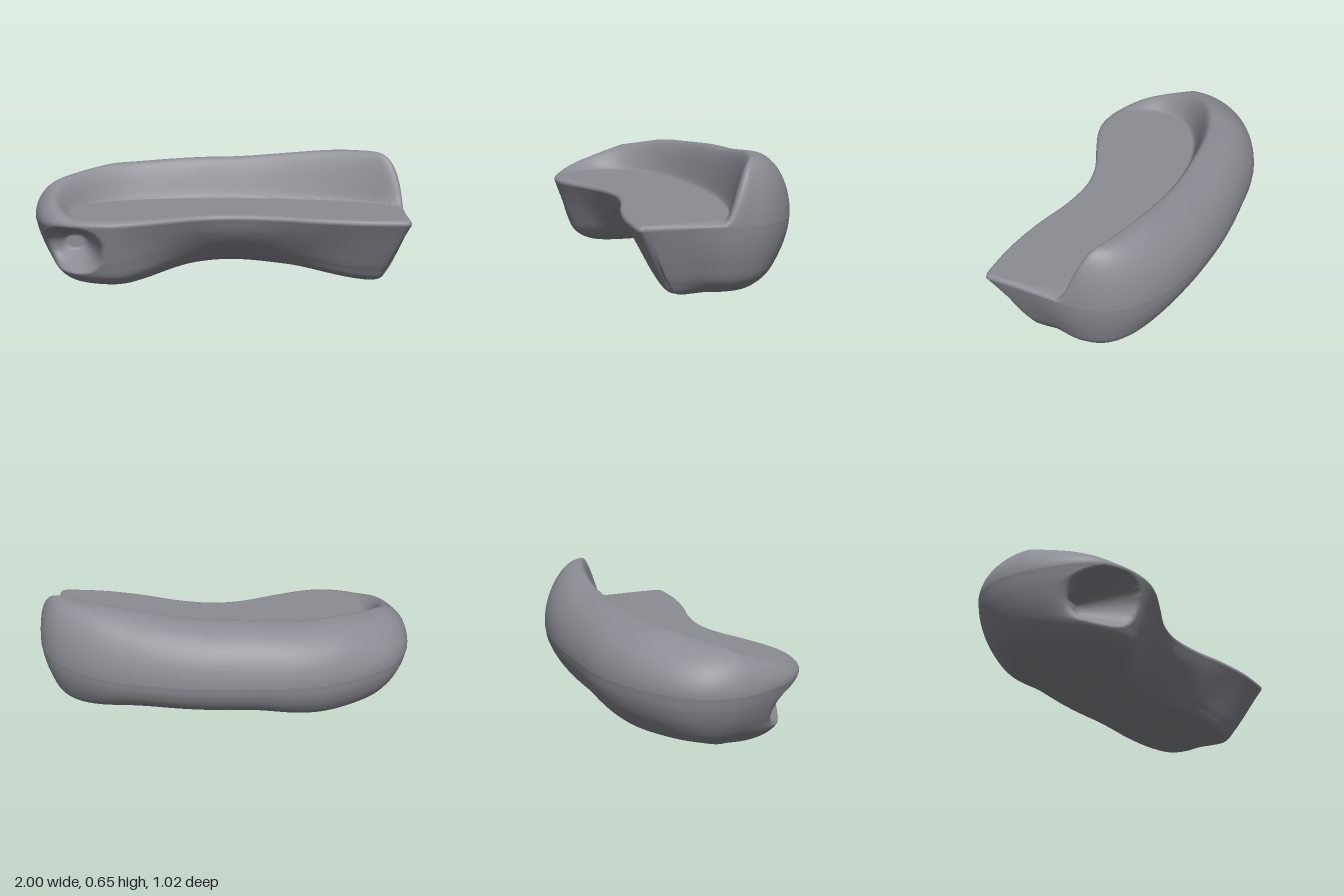
import * as THREE from 'three';

const { clamp, lerp } = THREE.MathUtils;
const smooth = (a, b, v) => THREE.MathUtils.smoothstep(v, a, b);

// Side sections: rounding of the upper edge, then pairs of inset and height from rim to underside
const KINDS = {
  front: [0.025, 0, 0.36, 0.05, 0.28, 0.11, 0.18, 0.165, 0.09, 0.22, 0.03],
  middle: [0.025, 0, 0.36, 0.035, 0.27, 0.09, 0.18, 0.16, 0.1, 0.235, 0.04],
  corner: [0.025, 0, 0.36, 0.055, 0.28, 0.12, 0.18, 0.185, 0.09, 0.245, 0.025],
  lobe: [0.05, 0, 0.355, 0.035, 0.25, 0.075, 0.13, 0.11, 0.06, 0.2, 0.01],
  left: [0.15, 0, 0.33, 0.02, 0.25, 0.06, 0.16, 0.11, 0.09, 0.2, 0.025],
  back: [0.24, 0, 0.335, 0.012, 0.26, 0.05, 0.17, 0.13, 0.075, 0.26, 0.03],
  end: [0.12, 0, 0.355, 0.01, 0.28, 0.035, 0.18, 0.08, 0.075, 0.16, 0.015],
  endFront: [0.03, 0, 0.36, 0.01, 0.28, 0.035, 0.18, 0.08, 0.07, 0.15, 0.015],
};

// Plan outline, running from the left front corner along the front and round
const OUTLINE = [
  [0.966, 0.457, 'corner'], [0.95, 0.47, 'corner'], [0.85, 0.472, 'front'], [0.7, 0.46, 'front'],
  [0.5, 0.42, 'front'], [0.3, 0.36, 'middle'], [0.15, 0.332, 'middle'], [0.05, 0.327, 'middle'],
  [-0.1, 0.352, 'middle'], [-0.3, 0.43, 'front'], [-0.45, 0.485, 'lobe'], [-0.58, 0.505, 'lobe'],
  [-0.75, 0.47, 'lobe'], [-0.88, 0.38, 'lobe'], [-0.96, 0.22, 'left'], [-1, 0.02, 'left'],
  [-0.975, -0.13, 'left'], [-0.9, -0.25, 'back'], [-0.78, -0.345, 'back'], [-0.6, -0.435, 'back'],
  [-0.4, -0.492, 'back'], [-0.15, -0.51, 'back'], [0.1, -0.512, 'back'], [0.3, -0.495, 'back'],
  [0.5, -0.46, 'back'], [0.7, -0.395, 'back'], [0.88, -0.285, 'end'], [0.97, -0.16, 'end'],
  [1, -0.02, 'end'], [0.985, 0.2, 'endFront'], [0.97, 0.42, 'corner'],
];
const SUB = 10; // columns per outline point
const COLS = OUTLINE.length * SUB;

// Section at a column, averaged over its neighbours so that the kinds flow together
function section(col) {
  const reach = 11, sum = new Array(11).fill(0);
  for (let k = -reach; k <= reach; k++) {
    const i = (col + k + COLS) % COLS, s = Math.floor(i / SUB), f = (i % SUB) / SUB;
    const a = KINDS[OUTLINE[s][2]], b = KINDS[OUTLINE[(s + 1) % OUTLINE.length][2]];
    a.forEach((v, m) => { sum[m] += lerp(v, b[m], f) / (2 * reach + 1); });
  }
  return sum;
}

// Line where the backrest meets the seat
const foot = new THREE.CatmullRomCurve3([
  [-0.68, 0.52], [-0.75, 0.36], [-0.79, 0.2], [-0.755, 0.08], [-0.67, -0.015], [-0.52, -0.095], [-0.3, -0.145],
  [0, -0.16], [0.3, -0.147], [0.6, -0.095], [0.8, -0.03], [1.04, 0.085],
].map(([x, z]) => new THREE.Vector3(x, 0, z))).getPoints(80);

// Signed distance behind the foot line
function behindFoot(x, z) {
  let best = Infinity, sign = 1;
  for (let i = 0; i < foot.length - 1; i++) {
    const a = foot[i], dx = foot[i + 1].x - a.x, dz = foot[i + 1].z - a.z;
    const px = x - a.x, pz = z - a.z;
    const t = clamp((px * dx + pz * dz) / (dx * dx + dz * dz), 0, 1);
    const d = Math.hypot(px - t * dx, pz - t * dz);
    if (d < best) {
      best = d;
      sign = dx * pz - dz * px < 0 ? 1 : -1;
    }
  }
  return best * sign;
}

// Height of seat and backrest
function topHeight(x, z) {
  const seat = 0.382;
  let crest = 0.6 + 0.052 * smooth(0, 0.75, x) - 0.022 * smooth(0, 0.55, -x) - 0.07 * smooth(0.55, 1, -x);
  if (x < 0) crest = Math.min(crest, 0.53 - 0.32 * z);
  const wall = smooth(0, 1, Math.pow(clamp(behindFoot(x, z) / 0.1, 0, 1), 0.72));
  return seat + Math.max(0, crest - seat) * wall;
}

// Arch of the underside between the two feet
const arch = (x) => 0.06 * smooth(-0.58, -0.12, x) * (1 - smooth(0.35, 0.82, x));

// Funnel-shaped recess in the rounded front corner, with a small flat floor
function recess(x, y) {
  const q = Math.pow(Math.abs((x + 0.765) / 0.17), 2.4) + Math.pow(Math.abs((y - 0.215) / 0.13), 2.4);
  return clamp((1 - Math.pow(q, 1 / 2.4)) / 0.68, 0, 1);
}

function bodyGeometry() {
  const LOW = 56, TOP = 60, rows = LOW + TOP + 1;
  const curve = new THREE.CatmullRomCurve3(OUTLINE.map(([x, z]) => new THREE.Vector3(x, 0, z)), true);
  const pos = new Float32Array(COLS * rows * 3);

  for (let i = 0; i < COLS; i++) {
    const P = curve.getPoint(i / COLS);
    // Every section runs inward to a curved spine
    const tx = P.x * 0.7;
    const target = new THREE.Vector3(tx, 0, -0.09 + 0.25 * tx * tx);
    const D = P.distanceTo(target);
    const dir = target.clone().sub(P).divideScalar(D);
    const [r, ...p] = section(i);
    const edge = p[1], profile = [];
    for (let k = 0; k < p.length; k += 2) profile.push(new THREE.Vector3(p[k], p[k + 1], 0));
    profile.push(new THREE.Vector3(D, 0, 0));
    const side = new THREE.CatmullRomCurve3(profile);

    for (let j = 0; j < rows; j++) {
      const q = j <= LOW ? side.getPoint(1 - j / LOW) : null;
      const inset = q ? q.x : D * Math.pow((j - LOW) / TOP, 1.4);
      const x = P.x + dir.x * inset;
      let z = P.z + dir.z * inset, y;
      if (q) {
        y = Math.max(0, q.y);
        y += arch(x) * (1 - y / 0.36);
        if (P.z > 0 && inset < 0.2) z = lerp(z, Math.min(z, 0.19), recess(x, y));
      } else {
        const k = Math.max(0, 1 - inset / r);
        y = edge + (topHeight(x, z) - edge) * Math.sqrt(1 - k * k);
      }
      pos.set([x, y, z], (j * COLS + i) * 3);
    }
  }

  const index = [];
  for (let j = 0; j < rows - 1; j++) {
    for (let i = 0; i < COLS; i++) {
      const a = j * COLS + i, b = j * COLS + ((i + 1) % COLS);
      index.push(a, a + COLS, b, b, a + COLS, b + COLS);
    }
  }
  const g = new THREE.BufferGeometry();
  g.setAttribute('position', new THREE.BufferAttribute(pos, 3));
  g.setIndex(index);
  g.computeVertexNormals();
  return g;
}

export function createModel() {
  const grey = new THREE.MeshStandardMaterial({ color: 0x8c8d94 });
  grey.name = 'slate grey';
  const body = new THREE.Mesh(bodyGeometry(), grey);
  body.name = 'curvedBenchBody';
  const group = new THREE.Group();
  group.name = 'curvedBench';
  group.add(body);
  return group;
}
